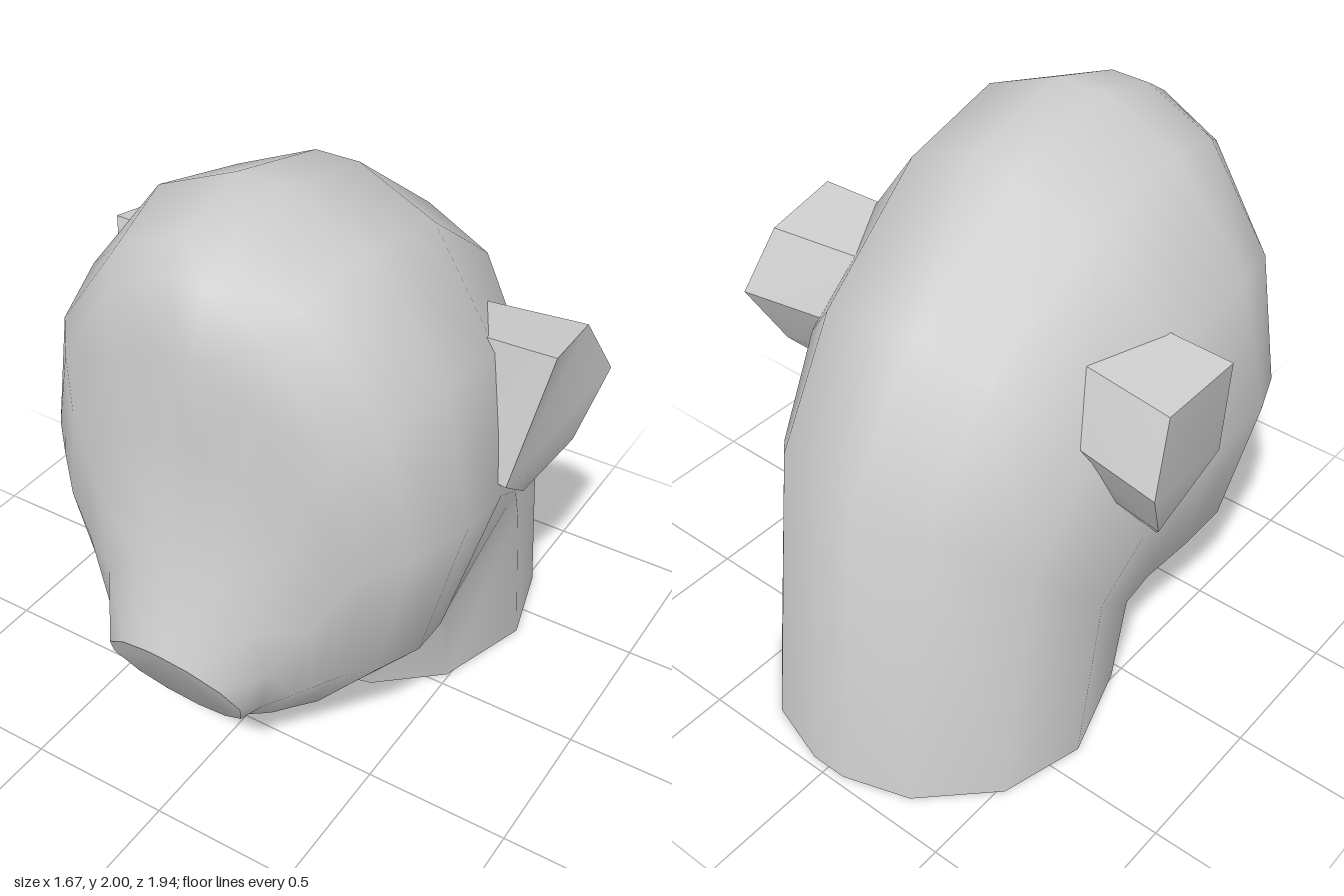
import * as THREE from 'three';
import { toCreasedNormals } from 'three/addons/utils/BufferGeometryUtils.js';

const material = new THREE.MeshStandardMaterial({ color: 0xcccccc });

function meshFrom(name, points, index, crease) {
  const geometry = new THREE.BufferGeometry();
  geometry.setAttribute('position', new THREE.Float32BufferAttribute(points.flat(), 3));
  geometry.setIndex(index);
  const mesh = new THREE.Mesh(toCreasedNormals(geometry, crease), material);
  mesh.name = name;
  return mesh;
}

// Neck, skull and muzzle: one loft of tilted ellipses fanning round the chin
function makeHead() {
  // [upper z, upper y, lower z, lower y, half width], from neck base to nose
  const rings = [
    [-0.97, 0, 0.2, 0, 0.6],
    [-0.82, 1.13, 0.24, 0.1, 0.605],
    [-0.55, 1.55, 0.25, 0.11, 0.65],
    [-0.08, 1.9, 0.29, 0.12, 0.715],
    [0.33, 2, 0.4, 0.14, 0.735],
    [0.6, 1.92, 0.52, 0.16, 0.655],
    [0.71, 1.845, 0.6, 0.185, 0.56],
    [0.77, 1.63, 0.66, 0.21, 0.49],
    [0.765, 1.35, 0.7, 0.235, 0.42],
    [0.86, 0.95, 0.735, 0.26, 0.305],
    [0.97, 0.68, 0.76, 0.28, 0.245],
  ];
  // Flat crown on top, pointed chin below
  const half = [0.11, 0.52, 1.05, 1.57, 2.18, 2.65];
  const angles = [...half, Math.PI, ...half.map(a => 2 * Math.PI - a).reverse()];
  const n = angles.length;
  const points = [], index = [];
  for (const [z1, y1, z2, y2, w] of rings) {
    for (const a of angles) {
      // Keep the flat crown level with the profile
      const t = Math.min(1, Math.cos(a) / Math.cos(half[0]));
      points.push([w * Math.sin(a), (y1 + y2) / 2 + t * (y1 - y2) / 2, (z1 + z2) / 2 + t * (z1 - z2) / 2]);
    }
  }
  // Quads are split the same way on both sides of the face
  for (let i = 0; i < rings.length - 1; i++) {
    for (let j = 0; j < n; j++) {
      const a = i * n + j, b = i * n + (j + 1) % n;
      if (j < n / 2 - 1) index.push(a, a + n, b, b, a + n, b + n);
      else index.push(a, a + n, b + n, a, b + n, b);
    }
  }
  // Neck base and nose caps
  const last = (rings.length - 1) * n;
  for (let j = 1; j < n - 1; j++) {
    index.push(0, j, j + 1, last, last + j + 1, last + j);
  }
  return meshFrom('head', points, index, 0.8);
}

// Faceted ear: outer outline joined to a root outline inside the skull,
// with its lower front corners running flush into the cheek
function makeEar(side) {
  const outer = [
    [0.735, 1.06, 0.12], [0.815, 1.5, 0.01], [0.79, 1.46, -0.27],
    [0.835, 1.25, -0.39], [0.78, 1.02, -0.27], [0.685, 0.86, -0.13],
  ];
  const root = [
    [0.6, 1.06, 0.1], [0.56, 1.5, 0.02], [0.45, 1.46, -0.225],
    [0.42, 1.25, -0.32], [0.5, 1.02, -0.23], [0.55, 0.9, -0.12],
  ];
  const n = outer.length;
  const points = [...outer, ...root].map(([x, y, z]) => [x * side, y, z]);
  const index = [];
  for (let j = 1; j < n - 1; j++) index.push(0, j + 1, j);
  for (let j = 0; j < n; j++) {
    const k = (j + 1) % n;
    index.push(j, k, j + n, k, k + n, j + n);
  }
  if (side < 0) index.reverse();
  return meshFrom(side > 0 ? 'leftEar' : 'rightEar', points, index, 0.6);
}

export function createModel() {
  const model = new THREE.Group();
  model.name = 'animalHead';
  model.add(makeHead(), makeEar(1), makeEar(-1));
  return model;
}
